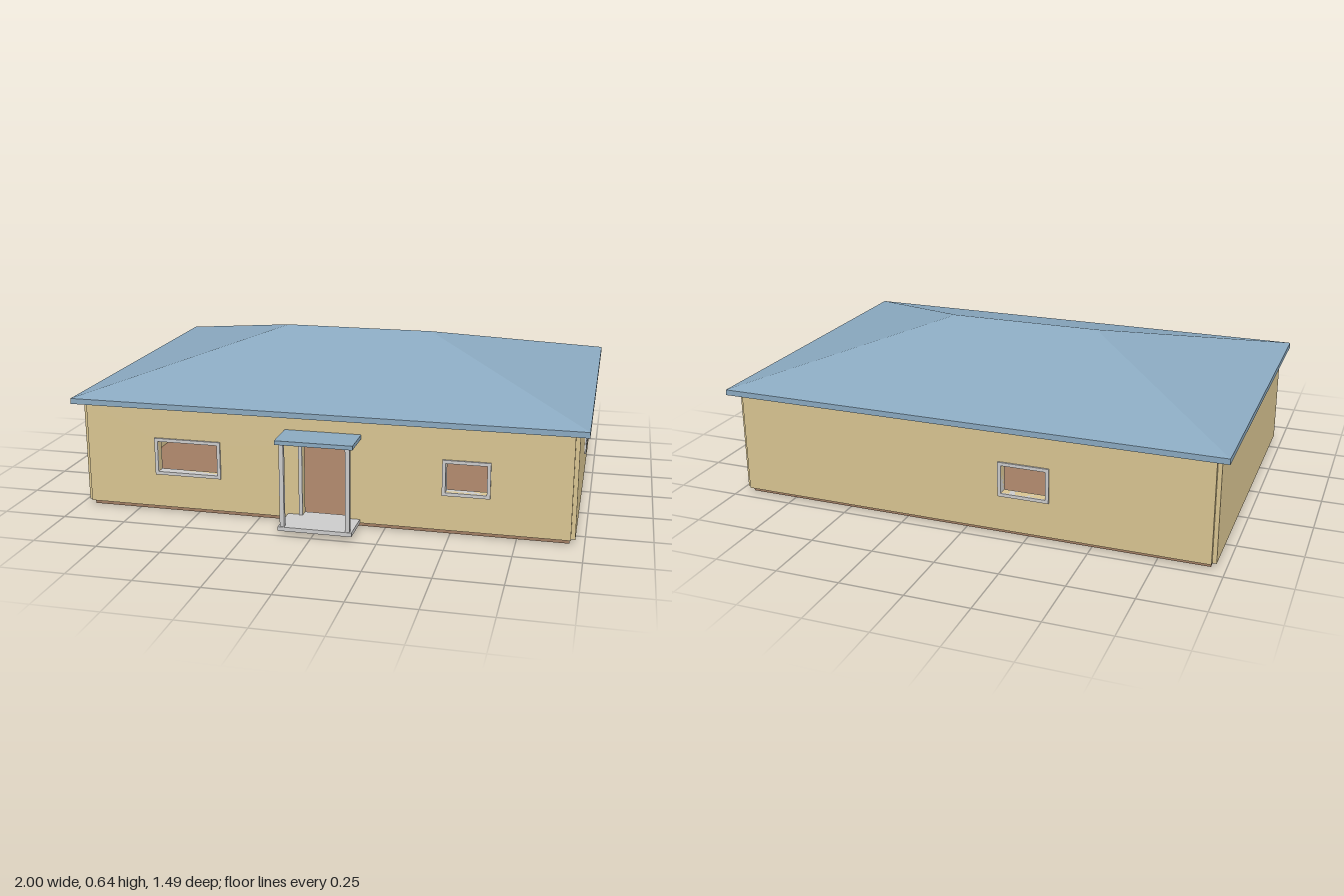
import * as THREE from 'three';

const mat = (color) => new THREE.MeshStandardMaterial({ color, flatShading: true });

export function createModel() {
  const model = new THREE.Group();
  const tan = mat(0xd8c491), blue = mat(0x8aa9c0), brown = mat(0xa07c62), trim = mat(0xdcdcdc);
  const midZ = -0.055;

  const add = (parent, name, geometry, material) => {
    const mesh = new THREE.Mesh(geometry, material);
    mesh.name = name;
    parent.add(mesh);
    return mesh;
  };
  // Box given by its extents on each axis
  const box = (parent, name, [x0, x1], [y0, y1], [z0, z1], material) => {
    const mesh = add(parent, name, new THREE.BoxGeometry(x1 - x0, y1 - y0, z1 - z0), material);
    mesh.position.set((x0 + x1) / 2, (y0 + y1) / 2, (z0 + z1) / 2);
    return mesh;
  };
  const rect = (Type, [x0, x1, y0, y1]) => new Type([
    new THREE.Vector2(x0, y0), new THREE.Vector2(x1, y0),
    new THREE.Vector2(x1, y1), new THREE.Vector2(x0, y1),
  ]);
  // Rectangular panel with rectangular holes
  const panel = (outer, holes, depth) => {
    const shape = rect(THREE.Shape, outer);
    holes.forEach((h) => shape.holes.push(rect(THREE.Path, h)));
    return new THREE.ExtrudeGeometry(shape, { depth, bevelEnabled: false });
  };

  // Walls with framed openings; each is drawn facing +z and turned into place
  const thickness = 0.03;
  const wall = (name, halfWidth, distance, angle, openings) => {
    const side = new THREE.Group();
    side.name = name;
    side.position.z = midZ;
    side.rotation.y = angle;
    model.add(side);
    const holes = openings.map((o) => o.hole);
    add(side, name + 'Panel', panel([-halfWidth, halfWidth, 0.02, 0.435], holes, thickness), tan)
      .position.z = distance - thickness;
    openings.forEach(({ kind, hole: [x0, x1, y0, y1], border: b }) => {
      const bottom = kind === 'door' ? y0 : y0 - b;
      const inner = [x0, x1, kind === 'door' ? y0 + 0.004 : y0, y1];
      add(side, kind + 'Frame', panel([x0 - b, x1 + b, bottom, y1 + b], [inner], thickness + 0.01), trim)
        .position.z = distance - thickness - 0.003;
    });
  };
  const win = (x0, x1, y0, y1, border = 0.013) => ({ kind: 'window', hole: [x0, x1, y0, y1], border });
  wall('frontWall', 0.95, 0.658, 0, [
    win(-0.655, -0.412, 0.167, 0.29),
    win(0.482, 0.637, 0.172, 0.286),
    { kind: 'door', hole: [-0.07, 0.1, 0.03, 0.315], border: 0.014 },
  ]);
  wall('backWall', 0.95, 0.658, Math.PI, [win(0.15, 0.325, 0.174, 0.286)]);
  wall('rightSideWall', 0.643, 0.966, Math.PI / 2, [win(-0.027, 0.137, 0.174, 0.286, 0.015)]);
  wall('leftSideWall', 0.643, 0.966, -Math.PI / 2, []);

  // Floor slab
  box(model, 'floorSlab', [-0.945, 0.945], [0, 0.025], [midZ - 0.636, midZ + 0.636], brown);

  // Hip roof: eave slab and four sloping faces
  const z0 = -0.747, z1 = 0.635, eave = 0.45, top = 0.637;
  box(model, 'roofEave', [-1, 1], [0.428, eave], [z0, z1], blue);
  const a = [-1, eave, z1], b = [1, eave, z1], c = [1, eave, z0], d = [-1, eave, z0];
  const l = [-0.31, top, midZ], r = [0.31, top, midZ];
  const faces = [a, b, r, a, r, l, c, d, l, c, l, r, b, c, r, d, a, l];
  const slopes = new THREE.BufferGeometry();
  slopes.setAttribute('position', new THREE.Float32BufferAttribute(faces.flat(), 3));
  slopes.computeVertexNormals();
  add(model, 'hipRoof', slopes, blue);

  // Entrance porch
  const porch = new THREE.Group();
  porch.name = 'porch';
  model.add(porch);
  box(porch, 'porchFloor', [-0.13, 0.155], [0.018, 0.034], [0.6, 0.745], trim);
  box(porch, 'porchRoof', [-0.137, 0.16], [0.357, 0.373], [0.6, 0.747], blue);
  for (const x of [-0.122, 0.13]) {
    box(porch, 'porchPost', [x, x + 0.017], [0.034, 0.357], [0.724, 0.741], trim);
  }

  return model;
}
